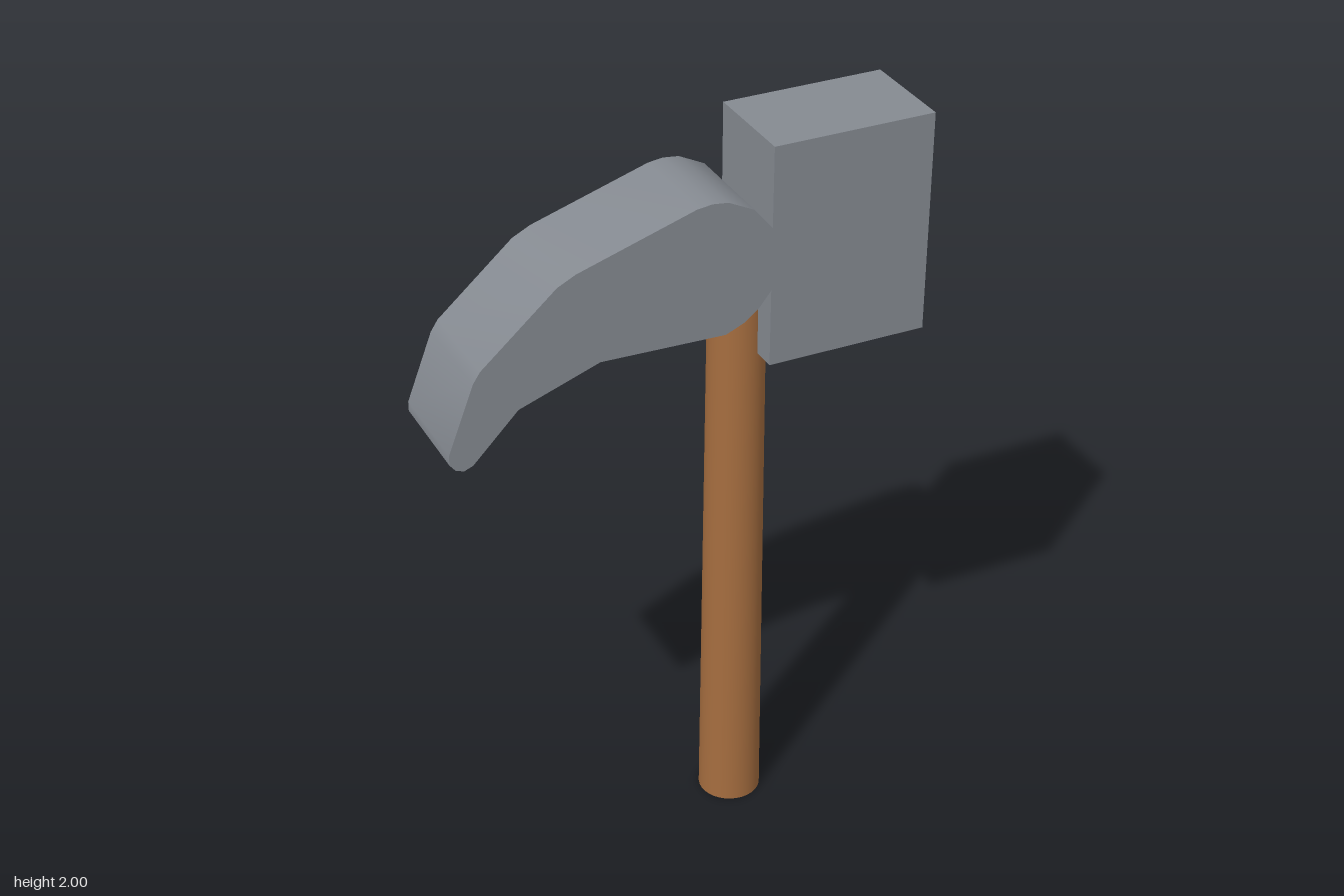
import * as THREE from 'three';
import { toCreasedNormals } from 'three/addons/utils/BufferGeometryUtils.js';

const DEPTH = 0.27;

function material(name, color) {
  const m = new THREE.MeshStandardMaterial({ color });
  m.name = name;
  return m;
}

export function createModel() {
  const group = new THREE.Group();
  group.name = 'hammer';
  const steel = material('steel', 0x858a91);
  const wood = material('wood', 0xa56d3f);

  const add = (name, geometry, mat, x = 0, y = 0, z = 0) => {
    const mesh = new THREE.Mesh(geometry, mat);
    mesh.name = name;
    mesh.position.set(x, y, z);
    group.add(mesh);
  };

  // Tapered round handle
  add('handle', new THREE.CylinderGeometry(0.073, 0.084, 1.595, 32), wood, 0.181, 0.7975, 0);

  // Striking block
  add('strikingBlock', new THREE.BoxGeometry(0.431, 0.587, DEPTH), steel, 0.4205, 1.7065, 0);
  const block = group.children[group.children.length - 1];
  block.scale.y = 0.59 / 0.587;
  block.position.y = 1.705;

  // Curved claw: side outline, bulging next to the block and hooking down to a rounded tip
  const outline = [
    [0.206, 1.786], [0.156, 1.847], [0.087, 1.881], [0.045, 1.886], [0.005, 1.881],
    [-0.304, 1.783], [-0.352, 1.759], [-0.55, 1.585], [-0.569, 1.556],
    [-0.637, 1.378], [-0.637, 1.352], [-0.622, 1.333], [-0.601, 1.326], [-0.578, 1.335],
    [-0.458, 1.458], [-0.246, 1.534], [0.085, 1.526], [0.135, 1.548],
    [0.172, 1.577], [0.206, 1.62],
  ];
  const shape = new THREE.Shape(outline.map(([x, y]) => new THREE.Vector2(x, y)));
  const claw = new THREE.ExtrudeGeometry(shape, { depth: DEPTH, bevelEnabled: false });
  claw.translate(0, 0, -DEPTH / 2);
  add('claw', toCreasedNormals(claw, 0.6), steel);

  return group;
}
